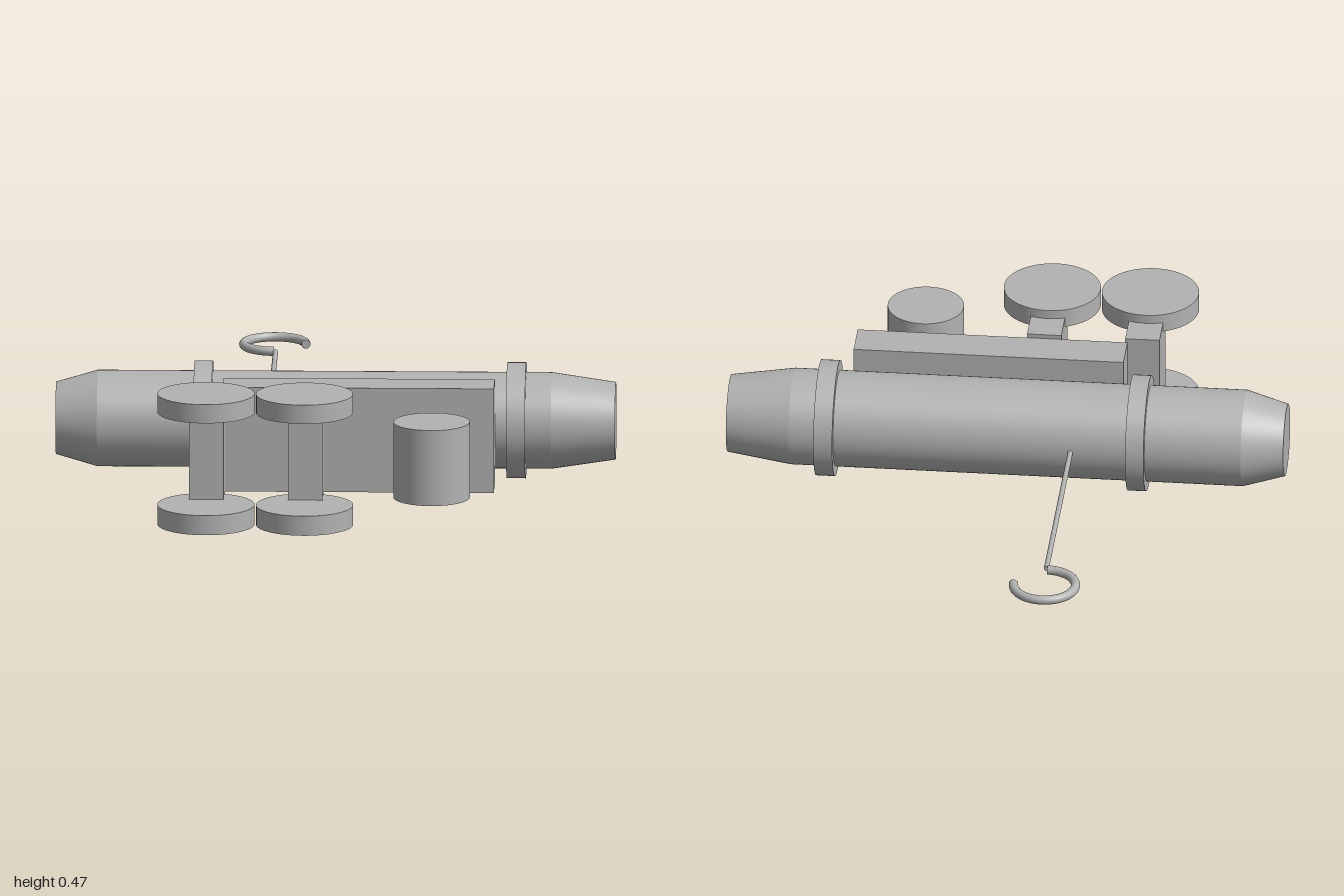
import * as THREE from 'three';

export function createModel() {
  const model = new THREE.Group();
  model.name = 'model';
  const grey = new THREE.MeshStandardMaterial({ color: 0xb2b2b2 });
  grey.name = 'plain grey';

  const add = (name, geometry, x, y, z, parent = model) => {
    const mesh = new THREE.Mesh(geometry, grey);
    mesh.name = name;
    mesh.position.set(x, y, z);
    parent.add(mesh);
    return mesh;
  };
  // Box given by its limits
  const box = (name, x0, x1, y0, y1, z0, z1, parent) =>
    add(name, new THREE.BoxGeometry(x1 - x0, y1 - y0, z1 - z0),
      (x0 + x1) / 2, (y0 + y1) / 2, (z0 + z1) / 2, parent);
  // Upright cylinder given by its centre and height limits
  const drum = (name, x, z, r, y0, y1, parent) =>
    add(name, new THREE.CylinderGeometry(r, r, y1 - y0, 64), x, (y0 + y1) / 2, z, parent);

  // Barrel lying along x, with a tapered nose at each end and two collars
  const axisY = 0.235, axisZ = 0.238, barrelR = 0.168;
  const section = (name, x0, x1, r0, r1) => {
    const g = new THREE.CylinderGeometry(r1, r0, x1 - x0, 64).rotateZ(-Math.PI / 2);
    add(name, g, (x0 + x1) / 2, axisY, axisZ);
  };
  section('leftTaper', -0.975, -0.83, 0.126, barrelR);
  section('barrel', -0.83, 0.75, barrelR, barrelR);
  section('rightTaper', 0.75, 0.972, barrelR, 0.135);
  section('collar', -0.494, -0.43, 0.202, 0.202);
  section('collar', 0.594, 0.66, 0.202, 0.202);

  // Mounting plate in front of the barrel
  box('mountingPlate', -0.388, 0.555, 0.048, 0.42, 0.402, 0.545);

  // Two pairs of discs, each joined by an upright bracket
  for (const x of [-0.44, -0.097]) {
    const pair = new THREE.Group();
    pair.name = 'discPair';
    model.add(pair);
    box('bracket', x - 0.06, x + 0.06, 0.035, 0.435, 0.545, 0.76, pair);
    drum('lowerDisc', x, 0.83, 0.169, 0, 0.07, pair);
    drum('upperDisc', x, 0.83, 0.169, 0.4, 0.467, pair);
  }

  // Single drum on a short arm
  box('drumArm', 0.288, 0.402, 0.15, 0.32, 0.545, 0.72);
  drum('drum', 0.345, 0.83, 0.133, 0.1, 0.37);

  // Rod and open hook behind the barrel
  const hookX = -0.24, hookZ = -0.877, hookR = 0.108, wire = 0.016;
  add('rod', new THREE.CylinderGeometry(0.009, 0.009, 0.87, 20).rotateX(Math.PI / 2),
    -0.235, axisY, -0.325);
  add('hook', new THREE.TorusGeometry(hookR, wire, 20, 64, Math.PI * 1.5).rotateX(-Math.PI / 2),
    hookX, axisY, hookZ);
  const cap = () => new THREE.CircleGeometry(wire, 20);
  add('hookTip', cap(), hookX + hookR, axisY, hookZ);
  add('hookRoot', cap().rotateY(Math.PI / 2), hookX, axisY, hookZ + hookR);

  return model;
}
